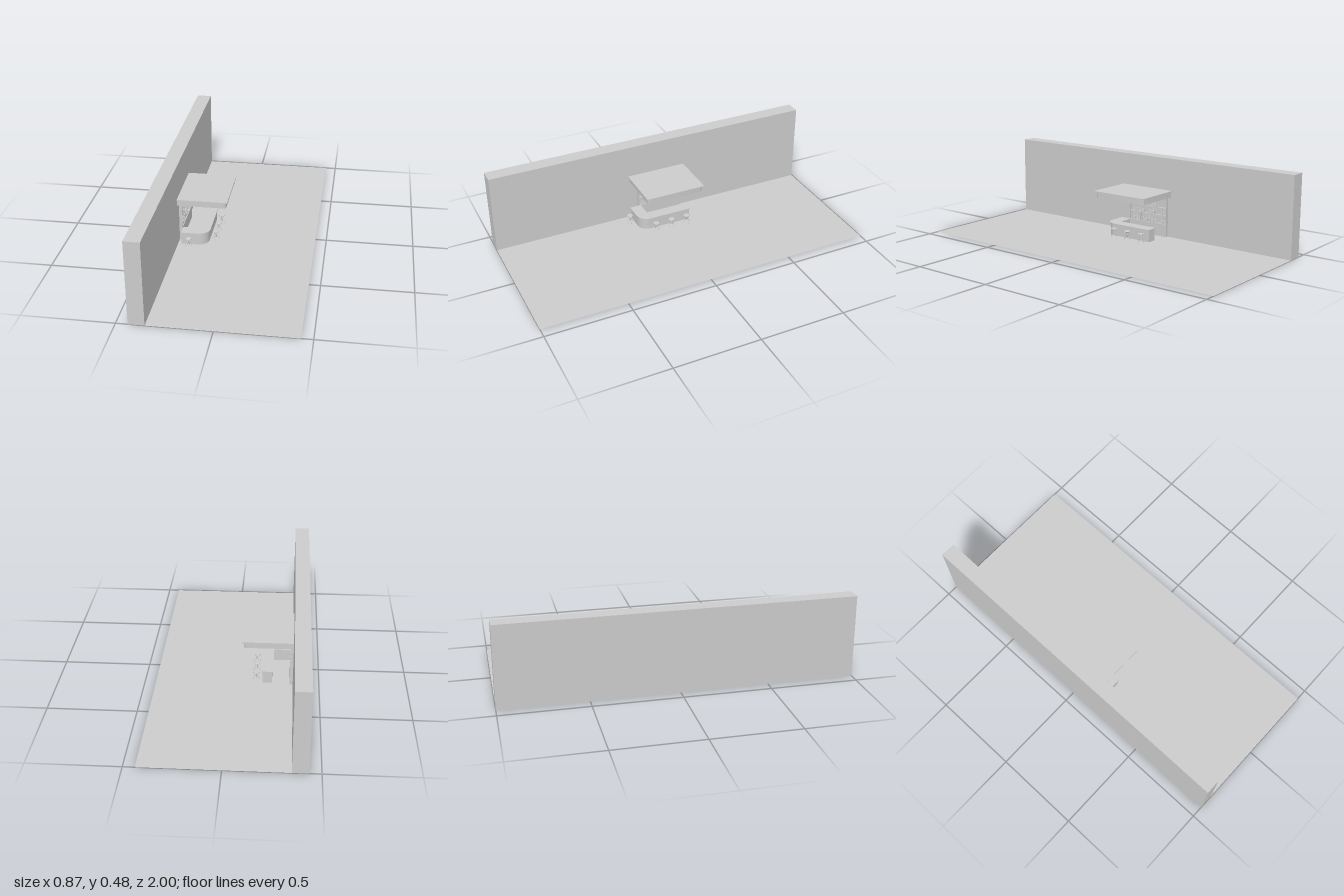
import * as THREE from 'three';
import { toCreasedNormals } from 'three/addons/utils/BufferGeometryUtils.js';

const material = new THREE.MeshStandardMaterial({ color: 0xcccccc, side: THREE.DoubleSide });

function add(parent, name, geometry) {
  const mesh = new THREE.Mesh(geometry, material);
  mesh.name = name;
  parent.add(mesh);
  return mesh;
}

// Box given by its low and high limits on each axis
function block(parent, name, [x0, x1], [y0, y1], [z0, z1]) {
  const mesh = add(parent, name, new THREE.BoxGeometry(x1 - x0, y1 - y0, z1 - z0));
  mesh.position.set((x0 + x1) / 2, (y0 + y1) / 2, (z0 + z1) / 2);
  return mesh;
}

// Floor-plan shape (shape y = -z) raised from y0 to y1
function slab(parent, name, shape, y0, y1) {
  const geometry = new THREE.ExtrudeGeometry(shape, { depth: y1 - y0, bevelEnabled: false, curveSegments: 10 });
  geometry.rotateX(-Math.PI / 2).translate(0, y0, 0);
  return add(parent, name, toCreasedNormals(geometry, 0.6));
}

// L-shaped counter plan with a rounded outer corner
function counterPlan(xOuter, zOuter, radius, width, zEnd) {
  const s = new THREE.Shape();
  s.moveTo(-0.332, -zOuter);
  s.lineTo(xOuter - radius, -zOuter);
  s.absarc(xOuter - radius, -zOuter + radius, radius, -Math.PI / 2, 0, false);
  s.lineTo(xOuter, -zEnd);
  s.lineTo(xOuter - width, -zEnd);
  s.lineTo(xOuter - width, -zOuter + width);
  s.lineTo(-0.332, -zOuter + width);
  s.closePath();
  return s;
}

// Canopy plan: straight against the wall, rounded at the two free corners
function canopyPlan(x0, x1, z0, z1, r) {
  const s = new THREE.Shape();
  s.moveTo(x0, -z1);
  s.lineTo(x1 - r, -z1);
  s.absarc(x1 - r, -z1 + r, r, -Math.PI / 2, 0, false);
  s.lineTo(x1, -z0 - r);
  s.absarc(x1 - r, -z0 - r, r, 0, Math.PI / 2, false);
  s.lineTo(x0, -z0);
  s.closePath();
  return s;
}

const lathe = (points, sides) =>
  toCreasedNormals(new THREE.LatheGeometry(points.map(([r, y]) => new THREE.Vector2(r, y)), sides), 0.7);

const seatGeometry = lathe([[0, 0.049], [0.014, 0.049], [0.018, 0.051], [0.018, 0.053], [0.016, 0.055], [0, 0.0555]], 20);
const legCurve = new THREE.CatmullRomCurve3([
  [0.014, 0.05], [0.011, 0.038], [0.006, 0.025], [0.008, 0.018], [0.016, 0.013], [0.019, 0.006], [0.021, 0.001],
].map(([r, y]) => new THREE.Vector3(r, y, 0)));
const legGeometry = new THREE.TubeGeometry(legCurve, 18, 0.0011, 6);

// Round stool: four curved legs, centre post and a ring
function stool(x, z) {
  const g = new THREE.Group();
  g.name = 'stool';
  add(g, 'stoolSeat', seatGeometry);
  for (let i = 0; i < 4; i++) add(g, 'stoolLeg', legGeometry).rotation.y = i * Math.PI / 2;
  const post = add(g, 'stoolPost', new THREE.CylinderGeometry(0.001, 0.001, 0.034, 6));
  post.position.y = 0.033;
  const ring = add(g, 'stoolRing', new THREE.TorusGeometry(0.007, 0.0009, 6, 16));
  ring.rotation.x = Math.PI / 2;
  ring.position.y = 0.021;
  g.position.set(x, 0, z);
  return g;
}

const bottleShapes = [
  lathe([[0, 0], [0.004, 0], [0.004, 0.018], [0.0014, 0.024], [0.0014, 0.033], [0, 0.033]], 10),
  lathe([[0, 0], [0.0045, 0], [0.005, 0.012], [0.0015, 0.019], [0.0015, 0.028], [0, 0.028]], 10),
  lathe([[0, 0], [0.0035, 0], [0.0035, 0.02], [0.0013, 0.025], [0.0013, 0.038], [0, 0.038]], 10),
];

export function createModel() {
  const root = new THREE.Group();
  root.name = 'wallBar';

  // Floor, and a long wall that is open underneath
  const floor = add(root, 'floor', new THREE.PlaneGeometry(0.787, 2).rotateX(-Math.PI / 2));
  floor.position.x = 0.0435;
  const wall = block(root, 'wall', [-0.437, -0.35], [0, 0.478], [-1, 1]);
  const faces = Array.from(wall.geometry.index.array);
  faces.splice(18, 6);
  wall.geometry.setIndex(faces);
  wall.geometry.clearGroups();

  // Canopy
  const canopy = new THREE.Group();
  canopy.name = 'canopy';
  block(canopy, 'canopyRoof', [-0.35, -0.06], [0.279, 0.285], [-0.203, 0.162]);
  slab(canopy, 'canopyFascia', canopyPlan(-0.35, -0.069, -0.194, 0.153, 0.014), 0.245, 0.279);
  root.add(canopy);

  // Back shelving
  const shelving = new THREE.Group();
  shelving.name = 'shelving';
  const depth = [-0.35, -0.332];
  const [zLow, zHigh] = [-0.173, 0.105];
  block(shelving, 'backPanel', [-0.35, -0.348], [0.075, 0.245], [zLow, zHigh]);
  block(shelving, 'baseCabinet', depth, [0, 0.073], [zLow, zHigh]);
  for (const z of [zLow, zHigh - 0.007]) block(shelving, 'sidePost', depth, [0, 0.245], [z, z + 0.007]);
  block(shelving, 'header', depth, [0.238, 0.245], [zLow, zHigh]);
  for (const y of [0.077, 0.13, 0.176]) block(shelving, 'shelf', depth, [y - 0.004, y], [zLow, zHigh]);
  block(shelving, 'divider', depth, [0.077, 0.126], [0.02, 0.023]);
  root.add(shelving);

  // Bottles standing in runs: shelf height, first z, last z
  const bottles = new THREE.Group();
  bottles.name = 'bottles';
  const runs = [
    [0.176, 0.094, -0.016], [0.176, -0.032, -0.112],
    [0.13, 0.07, -0.01], [0.13, -0.04, -0.088], [0.13, -0.135, -0.162],
    [0.077, 0.092, 0.03], [0.077, 0.012, -0.098], [0.077, -0.132, -0.162],
  ];
  runs.forEach(([y, start, end], run) => {
    for (let z = start, i = 0; z >= end; z -= 0.0115, i++) {
      add(bottles, 'bottle', bottleShapes[(run + i * 2 + (i >> 2)) % 3]).position.set(-0.3405, y, z);
    }
  });
  root.add(bottles);

  // Counter
  const counter = new THREE.Group();
  counter.name = 'counter';
  slab(counter, 'counterBody', counterPlan(-0.175, 0.155, 0.06, 0.056, -0.162), 0, 0.07);
  slab(counter, 'counterTop', counterPlan(-0.168, 0.162, 0.067, 0.07, -0.165), 0.07, 0.075);
  root.add(counter);

  // Stools: one at the short end, three along the long side
  for (const [x, z] of [[-0.283, 0.184], [-0.14, 0.073], [-0.14, -0.028], [-0.14, -0.128]]) root.add(stool(x, z));

  return root;
}
